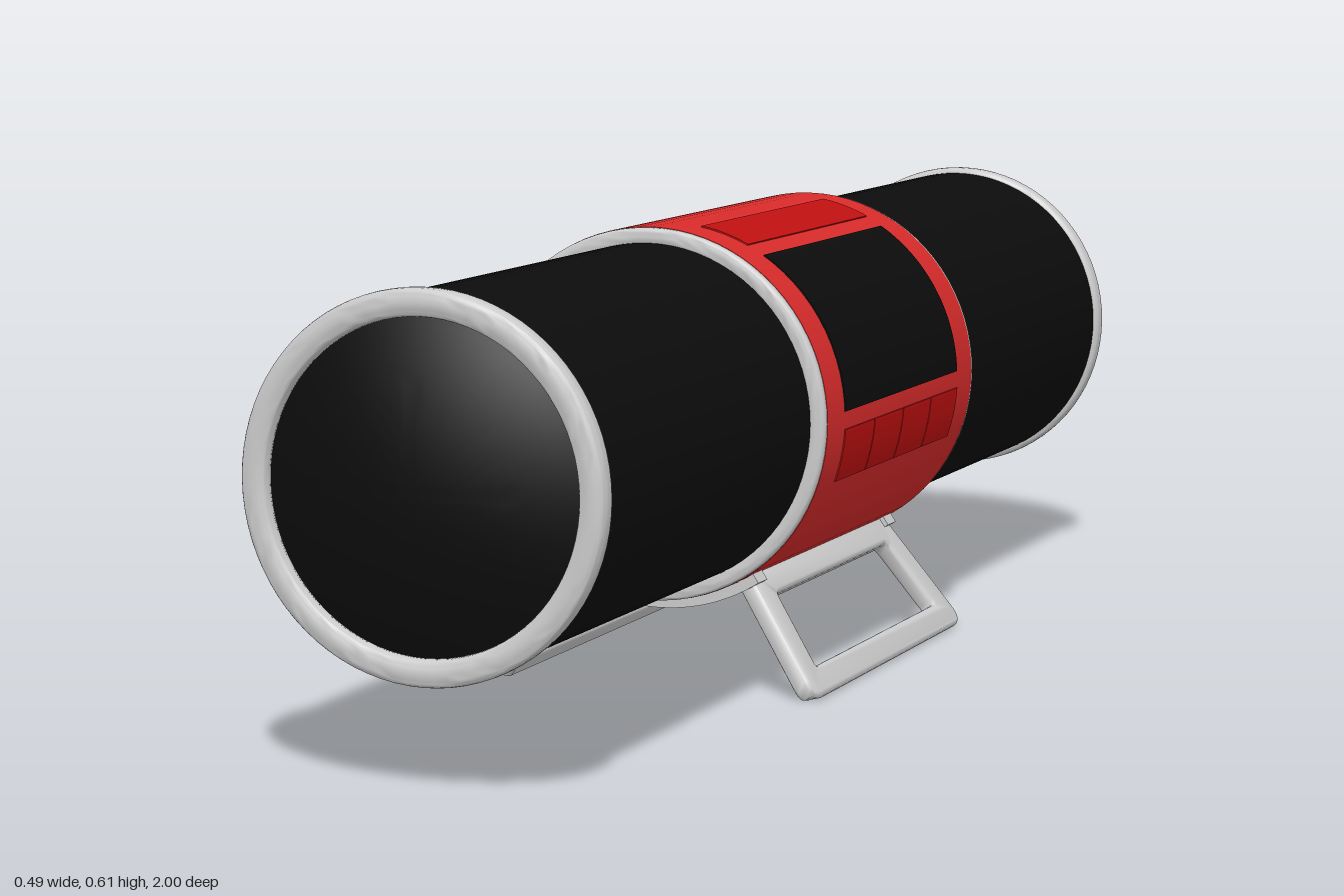
import * as THREE from 'three';
import { toCreasedNormals } from 'three/addons/utils/BufferGeometryUtils.js';

const AXIS_Y = 0.365; // height of the tube's axis
const BAND_R = 0.246;
const material = (color) => new THREE.MeshStandardMaterial({ color });
const grey = material(0xcccccc);
const black = material(0x0c0c0c);
const red = material(0xd92b2b);
const darkRed = material(0xc01010);

function addMesh(parent, name, geometry, mat) {
  const mesh = new THREE.Mesh(toCreasedNormals(geometry, 0.6), mat);
  mesh.name = name;
  parent.add(mesh);
  return mesh;
}

// Lathe around the z axis from [radius, z] pairs
function turned(points) {
  const profile = points.map(([r, z]) => new THREE.Vector2(r, z));
  return new THREE.LatheGeometry(profile, 80).rotateX(Math.PI / 2);
}

// Ring with a rounded rectangular section, centred on z
function ring(inner, outer, z, width) {
  const section = [];
  const ra = (outer - inner) / 2, rb = width / 2;
  for (let i = 0; i <= 24; i++) {
    const a = (i / 24) * Math.PI * 2;
    const c = Math.cos(a), s = Math.sin(a);
    section.push([(inner + outer) / 2 + ra * Math.sign(c) * Math.abs(c) ** 0.6,
      z + rb * Math.sign(s) * Math.abs(s) ** 0.6]);
  }
  return turned(section);
}

// Curved plate following the band between two angles (degrees) and two z values
function curvedPlate(r0, r1, deg0, deg1, z0, z1) {
  const a0 = THREE.MathUtils.degToRad(deg0), a1 = THREE.MathUtils.degToRad(deg1);
  const shape = new THREE.Shape();
  shape.absarc(0, 0, r1, a0, a1, false);
  shape.absarc(0, 0, r0, a1, a0, true);
  shape.closePath();
  return new THREE.ExtrudeGeometry(shape, { depth: z1 - z0, bevelEnabled: false, curveSegments: 24 })
    .translate(0, 0, z0);
}

// Closed outline with rounded corners
function roundedOutline(target, corners, radius) {
  const pts = corners.map(([x, y]) => new THREE.Vector2(x, y));
  pts.forEach((p, i) => {
    const toward = (q) => q.clone().sub(p).setLength(radius).add(p);
    const a = toward(pts[(i + pts.length - 1) % pts.length]);
    const b = toward(pts[(i + 1) % pts.length]);
    if (i === 0) target.moveTo(a.x, a.y); else target.lineTo(a.x, a.y);
    target.quadraticCurveTo(p.x, p.y, b.x, b.y);
  });
  target.closePath();
  return target;
}

// Tilted trapezoid loop forming the leg on the +x side
function legGeometry() {
  const bevel = 0.007, depth = 0.012;
  const shape = roundedOutline(new THREE.Shape(),
    [[-0.287, 0], [0.287, 0], [0.248, 0.183], [-0.248, 0.183]], 0.02);
  shape.holes.push(roundedOutline(new THREE.Path(),
    [[-0.245, 0.026], [-0.219, 0.148], [0.219, 0.148], [0.245, 0.026]], 0.015));
  const geometry = new THREE.ExtrudeGeometry(shape, {
    depth, bevelThickness: bevel, bevelSize: bevel, bevelSegments: 4, curveSegments: 6,
  }).translate(0, 0, -depth / 2);
  const along = new THREE.Vector3(-0.583, 0.812, 0).normalize();
  const across = new THREE.Vector3(0, 0, 1);
  const normal = across.clone().cross(along);
  geometry.applyMatrix4(new THREE.Matrix4().makeBasis(across, along, normal));
  geometry.translate(0.221, 0.004, 0);
  // Flatten the foot on the ground
  const pos = geometry.attributes.position;
  for (let i = 0; i < pos.count; i++) pos.setY(i, Math.max(0, pos.getY(i)));
  return geometry;
}

export function createModel() {
  const model = new THREE.Group();
  model.name = 'tubeSpeaker';
  const body = new THREE.Group();
  body.name = 'body';
  body.position.y = AXIS_Y;
  model.add(body);

  // Long tube and the wide band around its middle
  addMesh(body, 'tube', turned([[0.2, -0.96], [0.226, -0.96], [0.226, 0.96], [0.2, 0.96]]), black);
  addMesh(body, 'centreBand', turned([[0.22, -0.288], [BAND_R, -0.288], [BAND_R, 0.288], [0.22, 0.288]]), red);

  // Trim rings, end rings and domed ends, front and back
  for (const side of [1, -1]) {
    const end = side > 0 ? 'front' : 'back';
    addMesh(body, end + 'BandTrim', ring(0.222, 0.2455, side * 0.29, 0.018), grey);
    addMesh(body, end + 'EndRing', ring(0.2, 0.234, side * 0.958, 0.032), grey);
    const dome = [];
    for (let i = 0; i <= 12; i++) {
      const r = 0.207 * (1 - i / 12);
      dome.push([r, 1 - 0.045 * (r / 0.207) ** 2]);
    }
    const cap = addMesh(body, end + 'Dome', turned(dome), black);
    if (side < 0) cap.rotation.y = Math.PI;
  }

  // Display, slim upper panel and row of four buttons on the +x side
  addMesh(body, 'display', curvedPlate(0.235, BAND_R + 0.0015, 2, 57.5, -0.222, 0.225), black);
  addMesh(body, 'upperPanel', curvedPlate(0.235, BAND_R + 0.0018, 63.5, 79.5, -0.225, 0.225), darkRed);
  for (let i = 0; i < 4; i++) {
    const z = -0.225 + i * 0.1125;
    addMesh(body, 'button' + (i + 1),
      curvedPlate(0.235, BAND_R + 0.0015, -20, -3.5, z + 0.001, z + 0.1115), darkRed);
  }

  // Stand: two curved straps under the band and a loop leg on each side
  const stand = new THREE.Group();
  stand.name = 'stand';
  model.add(stand);
  for (const z of [-0.25, 0.25]) {
    const strap = addMesh(stand, 'strap', curvedPlate(0.24, 0.26, 237, 303, z - 0.016, z + 0.016), grey);
    strap.position.y = AXIS_Y;
  }
  addMesh(stand, 'leftLeg', legGeometry(), grey);
  addMesh(stand, 'rightLeg', legGeometry(), grey).rotation.y = Math.PI;
  return model;
}
